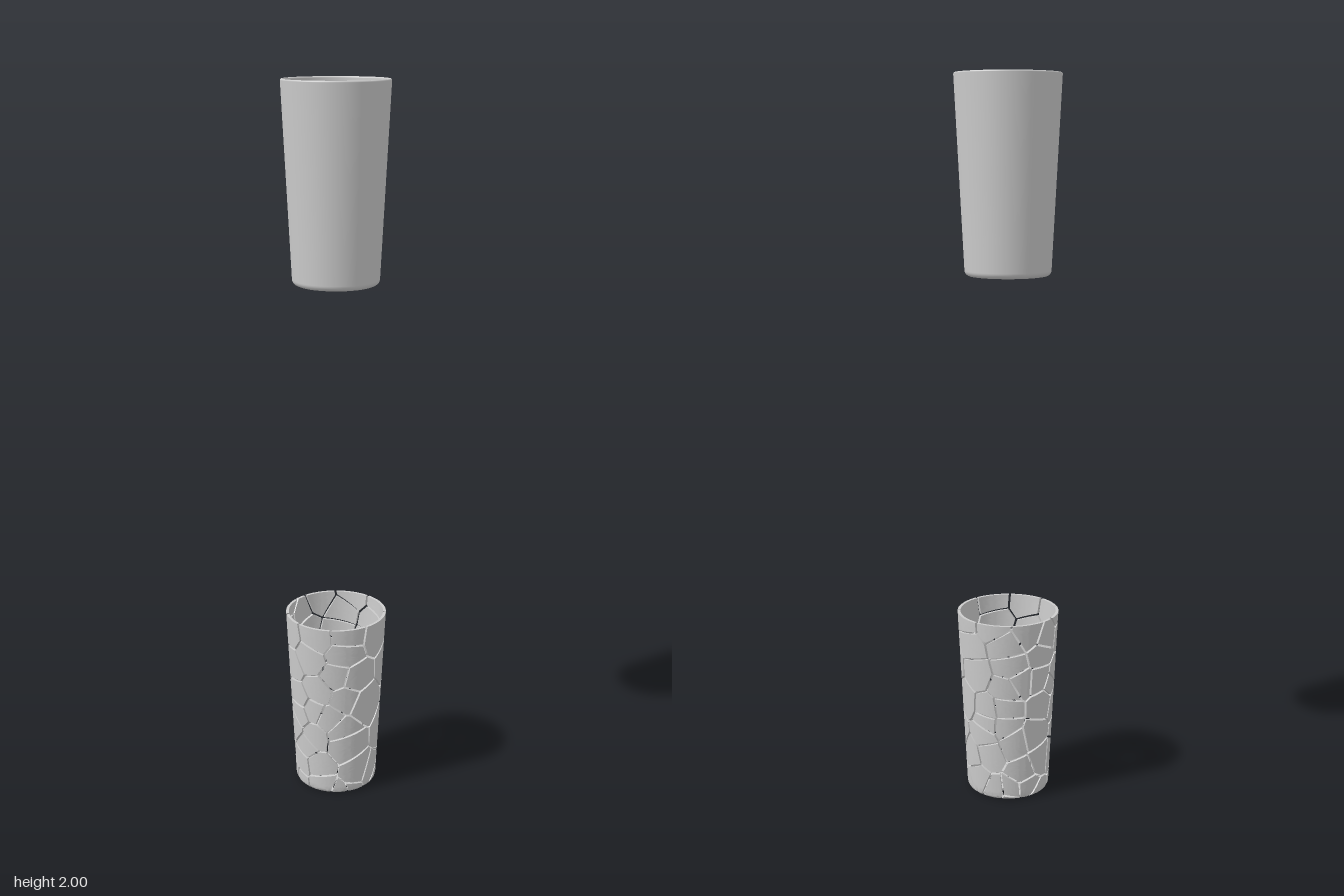
import * as THREE from 'three';
import { toCreasedNormals } from 'three/addons/utils/BufferGeometryUtils.js';

const H = 0.528, THICK = 0.008, GAP = 0.006;
const FLOOR_R = 0.102, FILLET = 0.015, TOP_R = 0.143;
const ARC = FILLET * Math.PI / 2;      // length of the rounded bottom edge
const WALL = ARC + H - FILLET;         // unrolled wall length
const R = 0.13, AROUND = 2 * Math.PI * R;

const material = new THREE.MeshStandardMaterial({ color: 0xcccccc, side: THREE.DoubleSide });

let seed = 11;
const random = () => {
  seed = (seed * 1664525 + 1013904223) % 4294967296;
  return seed / 4294967296;
};

// Radius and height at length v up the wall, at a given depth into the glass
function wallProfile(v, depth) {
  if (v < ARC) {
    const a = v / FILLET, r = FILLET - depth;
    return [FLOOR_R + r * Math.sin(a), FILLET - r * Math.cos(a)];
  }
  const k = (v - ARC) / (WALL - ARC);
  return [THREE.MathUtils.lerp(FLOOR_R + FILLET, TOP_R, k) - depth, FILLET + v - ARC];
}

// Intact cup: outer skin, rounded rim, inner skin
function smoothCup() {
  const pts = [new THREE.Vector2(0, 0)];
  const add = (v, depth) => pts.push(new THREE.Vector2(...wallProfile(v, depth)));
  const rim = THICK / 2;
  const levels = [0, 1, 2, 3, 4, 5, 6].map(i => i * ARC / 6).concat([0.1, 0.3, WALL - rim]);
  levels.forEach(v => add(v, 0));
  for (let i = 1; i < 6; i++) {
    const a = i / 6 * Math.PI;
    add(WALL - rim + rim * Math.sin(a), rim - rim * Math.cos(a));
  }
  levels.reverse().forEach(v => add(v, THICK));
  pts.push(new THREE.Vector2(0, THICK));
  return new THREE.Mesh(new THREE.LatheGeometry(pts, 64), material);
}

// Keep the part of a polygon nearer to p than to q, less half a crack
function clip(poly, p, q) {
  const dx = q[0] - p[0], dy = q[1] - p[1], len = Math.hypot(dx, dy);
  const side = c => ((c[0] - p[0]) * dx + (c[1] - p[1]) * dy) / len - len / 2 + GAP / 2;
  const out = [];
  poly.forEach((a, i) => {
    const b = poly[(i + 1) % poly.length], sa = side(a), sb = side(b);
    if (sa <= 0) out.push(a);
    if (sa * sb < 0) {
      const t = sa / (sa - sb);
      out.push([a[0] + (b[0] - a[0]) * t, a[1] + (b[1] - a[1]) * t]);
    }
  });
  return out;
}

// Spread seeds: the best of a few random candidates each time
function scatter(count, make, seeds = []) {
  for (let n = 0; n < count; n++) {
    let best, bestD = -1;
    for (let c = 0; c < 4; c++) {
      const p = make();
      const d = Math.min(9, ...seeds.map(s => {
        const du = Math.abs(s[0] - p[0]);
        return Math.hypot(Math.min(du, AROUND - du), s[1] - p[1]);
      }));
      if (d > bestD) { bestD = d; best = p; }
    }
    seeds.push(best);
  }
  return seeds;
}

// Solid shard from a flat cell; place(u, v, depth) bends it onto the cup
function shard(poly, place, rings) {
  const edge = [];
  poly.forEach((a, i) => {
    const b = poly[(i + 1) % poly.length];
    const n = Math.max(1, Math.ceil(Math.hypot(b[0] - a[0], b[1] - a[1]) / 0.013));
    for (let k = 0; k < n; k++) edge.push([a[0] + (b[0] - a[0]) * k / n, a[1] + (b[1] - a[1]) * k / n]);
  });
  const N = edge.length;
  const mid = [0, 1].map(i => edge.reduce((s, p) => s + p[i], 0) / N);
  const pos = [], index = [];
  for (const depth of [0, THICK]) {
    pos.push(...place(mid[0], mid[1], depth));
    for (let j = 1; j <= rings; j++) {
      for (const p of edge) {
        const k = j / rings;
        pos.push(...place(mid[0] + (p[0] - mid[0]) * k, mid[1] + (p[1] - mid[1]) * k, depth));
      }
    }
  }
  const skin = 1 + rings * N;
  const id = (s, j, i) => s * skin + (j === 0 ? 0 : 1 + (j - 1) * N + i % N);
  for (let i = 0; i < N; i++) {
    for (let j = 0; j < rings; j++) {
      for (const s of [0, 1]) {
        const a = id(s, j, i), b = id(s, j + 1, i), c = id(s, j + 1, i + 1), d = id(s, j, i + 1);
        index.push(...(s ? [a, c, b] : [a, b, c]));
        if (j) index.push(...(s ? [a, d, c] : [a, c, d]));
      }
    }
    const o = id(0, rings, i), o2 = id(0, rings, i + 1), n = id(1, rings, i), n2 = id(1, rings, i + 1);
    index.push(n, n2, o2, n, o2, o);
  }
  const geo = new THREE.BufferGeometry();
  geo.setAttribute('position', new THREE.Float32BufferAttribute(pos, 3));
  geo.setIndex(index);
  return new THREE.Mesh(toCreasedNormals(geo, 0.7), material);
}

function crackedCup() {
  const group = new THREE.Group();

  // Wall shards, with smaller ones along the bottom edge
  const seeds = scatter(14, () => [random() * AROUND, random() * 0.06]);
  scatter(58, () => [random() * AROUND, 0.05 + random() * (WALL - 0.05)], seeds);
  const placeWall = (u, v, depth) => {
    const [r, y] = wallProfile(v, depth);
    return [r * Math.sin(u / R), y, r * Math.cos(u / R)];
  };
  seeds.forEach((p, i) => {
    const l = p[0] - AROUND / 2, r = p[0] + AROUND / 2;
    let poly = [[l, 0], [r, 0], [r, WALL], [l, WALL]];
    seeds.forEach((q, k) => {
      for (const turn of [-1, 0, 1]) {
        if (k !== i) poly = clip(poly, p, [q[0] + turn * AROUND, q[1]]);
      }
    });
    if (poly.length < 3) return;
    const mesh = shard(poly, placeWall, 6);
    mesh.name = 'wallShard' + i;
    group.add(mesh);
  });

  // Floor shards
  const disc = Array.from({ length: 64 }, (_, i) => {
    const a = i / 64 * Math.PI * 2;
    return [FLOOR_R * Math.cos(a), FLOOR_R * Math.sin(a)];
  });
  const floorSeeds = scatter(22, () => {
    const a = random() * Math.PI * 2, r = FLOOR_R * Math.sqrt(random());
    return [r * Math.cos(a), r * Math.sin(a)];
  });
  floorSeeds.forEach((p, i) => {
    let poly = disc;
    floorSeeds.forEach((q, k) => { if (k !== i) poly = clip(poly, p, q); });
    if (poly.length < 3) return;
    const mesh = shard(poly, (x, z, depth) => [x, depth, z], 1);
    mesh.name = 'floorShard' + i;
    group.add(mesh);
  });
  return group;
}

export function createModel() {
  const model = new THREE.Group();
  model.name = 'intactAndCrackedCups';

  const upper = smoothCup();
  upper.name = 'intactCup';
  upper.position.y = 2 - H;

  const lower = crackedCup();
  lower.name = 'crackedCup';

  model.add(upper, lower);
  return model;
}
